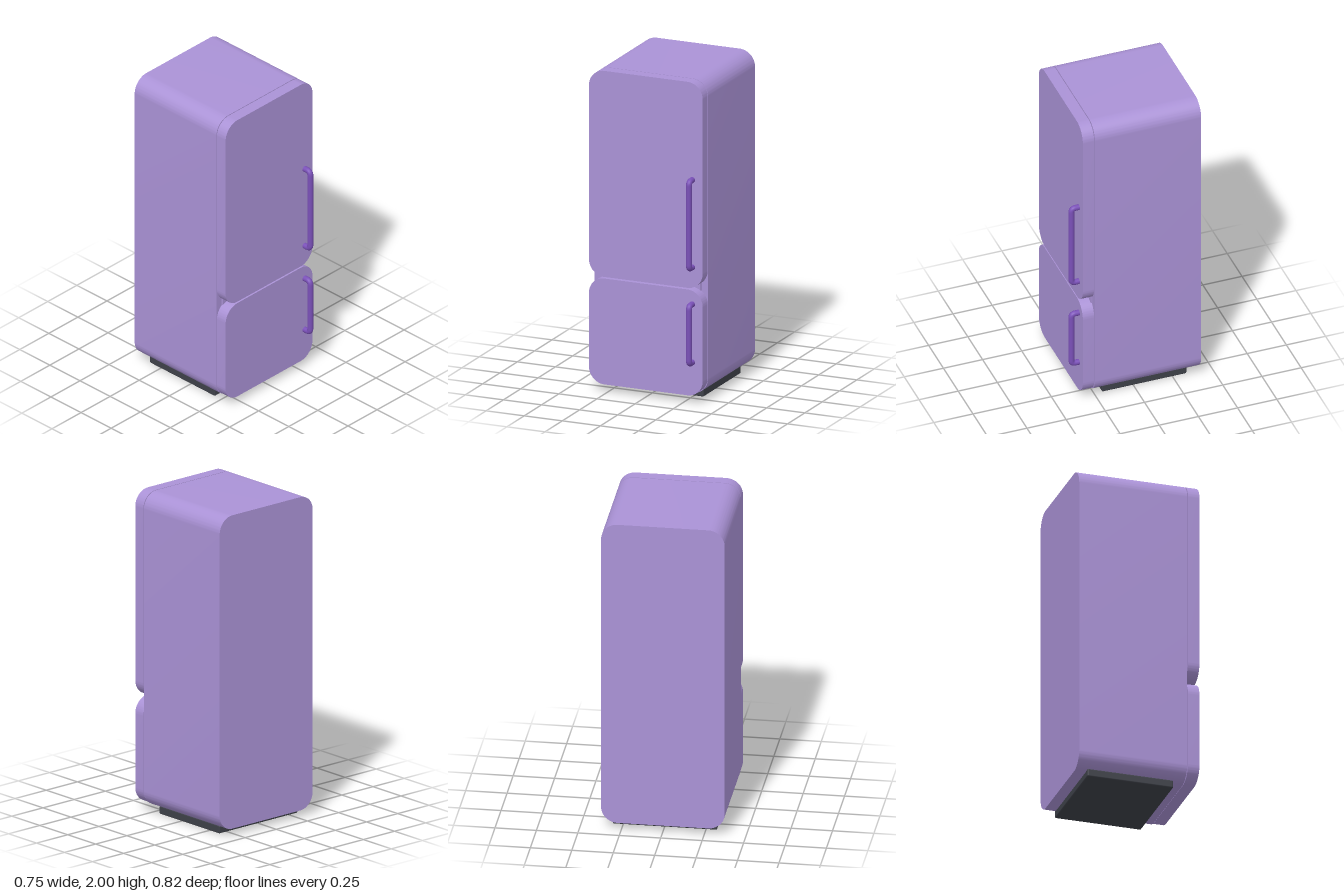
import * as THREE from 'three';
import { toCreasedNormals } from 'three/addons/utils/BufferGeometryUtils.js';
import { RoundedBoxGeometry } from 'three/addons/geometries/RoundedBoxGeometry.js';

const material = (name, color) => {
  const m = new THREE.MeshStandardMaterial({ color });
  m.name = name;
  return m;
};

// Slab with rounded corners seen from the front, extruded from z0 to z1
function slab(halfWidth, y0, y1, z0, z1, r) {
  const w = halfWidth;
  const s = new THREE.Shape();
  s.moveTo(-w + r, y0);
  s.lineTo(w - r, y0);
  s.absarc(w - r, y0 + r, r, -Math.PI / 2, 0);
  s.absarc(w - r, y1 - r, r, 0, Math.PI / 2);
  s.absarc(-w + r, y1 - r, r, Math.PI / 2, Math.PI);
  s.absarc(-w + r, y0 + r, r, Math.PI, Math.PI * 1.5);
  const g = new THREE.ExtrudeGeometry(s, { depth: z1 - z0, bevelEnabled: false, curveSegments: 12 });
  g.translate(0, 0, z0);
  return toCreasedNormals(g, Math.PI / 6);
}

// Bar handle bent back into the door at both ends
function handleGeometry(y0, y1) {
  const x = 0.305, back = 0.335, front = 0.393, r = 0.025;
  const v = (y, z) => new THREE.Vector3(x, y, z);
  const path = new THREE.CurvePath();
  path.add(new THREE.LineCurve3(v(y0, back), v(y0, front - r)));
  path.add(new THREE.QuadraticBezierCurve3(v(y0, front - r), v(y0, front), v(y0 + r, front)));
  path.add(new THREE.LineCurve3(v(y0 + r, front), v(y1 - r, front)));
  path.add(new THREE.QuadraticBezierCurve3(v(y1 - r, front), v(y1, front), v(y1, front - r)));
  path.add(new THREE.LineCurve3(v(y1, front - r), v(y1, back)));
  return new THREE.TubeGeometry(path, 120, 0.018, 16, false);
}

export function createModel() {
  const model = new THREE.Group();
  model.name = 'refrigerator';
  const lavender = material('lavender enamel', 0xaa92d6);
  const violet = material('violet handle', 0x7a50b8);
  const charcoal = material('charcoal plinth', 0x3e4149);

  const add = (name, geometry, mat) => {
    const mesh = new THREE.Mesh(geometry, mat);
    mesh.name = name;
    model.add(mesh);
    return mesh;
  };

  // Cabinet and the recessed seal joining it to the doors
  add('cabinet', slab(0.373, 0.04, 2, -0.41, 0.268, 0.1), lavender);
  add('doorSeal', slab(0.33, 0.085, 1.955, 0.26, 0.28, 0.06), lavender);

  // Doors with their handles
  const doors = [
    { name: 'fridge', y: [0.715, 2], handle: [0.848, 1.392] },
    { name: 'freezer', y: [0.045, 0.705], handle: [0.255, 0.617] },
  ];
  for (const d of doors) {
    add(d.name + 'Door', slab(0.373, d.y[0], d.y[1], 0.273, 0.345, 0.1), lavender);
    add(d.name + 'Handle', handleGeometry(...d.handle), violet);
  }

  // Plinth
  const plinth = add('plinth', new RoundedBoxGeometry(0.63, 0.05, 0.54, 3, 0.008), charcoal);
  plinth.position.set(-0.002, 0.025, -0.07);

  return model;
}
